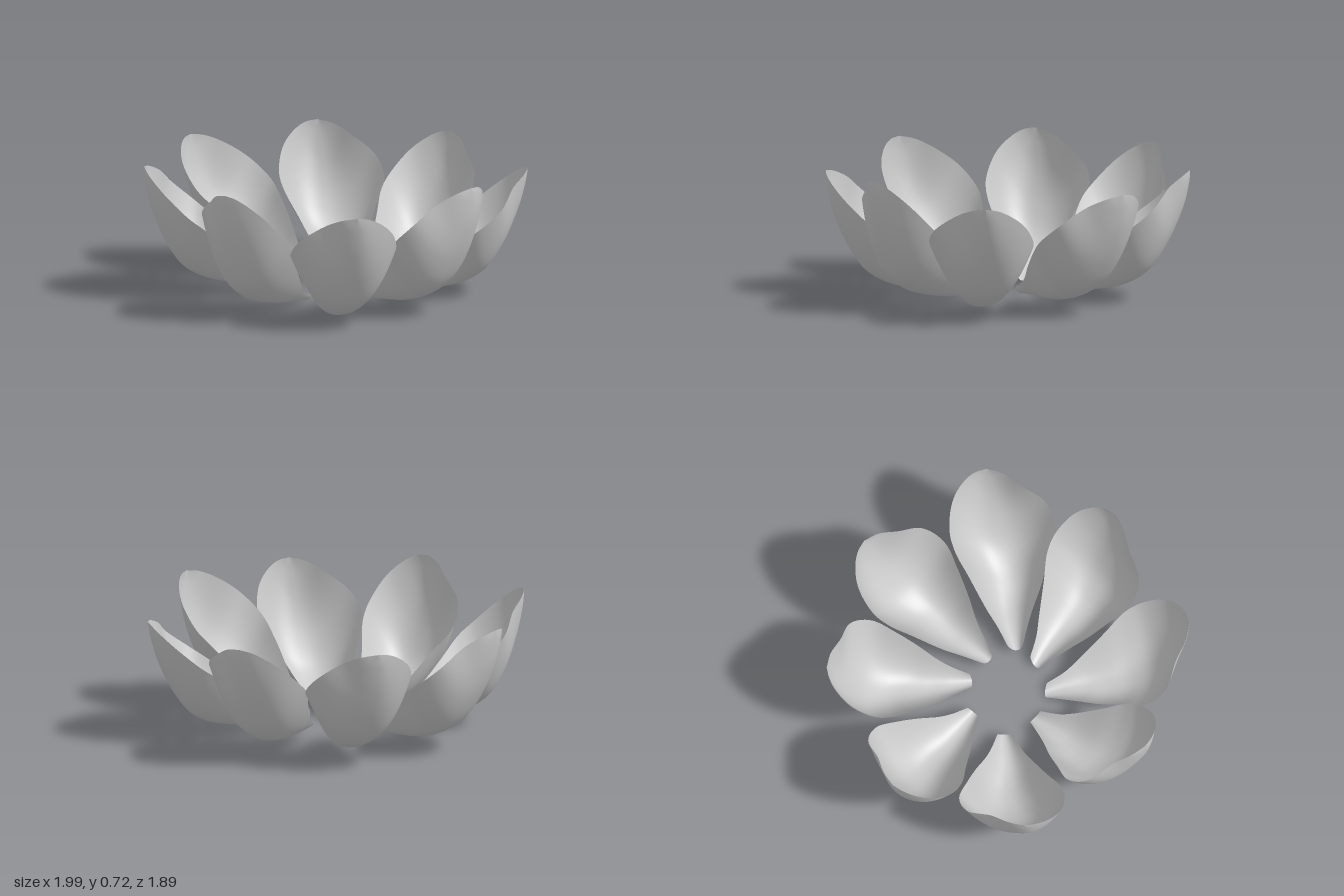
import * as THREE from 'three';

const curve = (pts) => new THREE.CatmullRomCurve3(pts.map(([x, y, d]) => new THREE.Vector3(x, y, -d)));

// Petal guide lines, base to tip: [across, height, distance outward]
const leftRim = curve([[0.01, 0.04, 0.2], [-0.03, 0.07, 0.3], [-0.075, 0.12, 0.38], [-0.15, 0.25, 0.52],
  [-0.21, 0.36, 0.63], [-0.225, 0.43, 0.72], [-0.19, 0.54, 0.84], [-0.12, 0.61, 0.91], [-0.06, 0.64, 0.937], [0, 0.648, 0.945]]);
const rightRim = curve([[0.09, 0.04, 0.195], [0.125, 0.075, 0.28], [0.16, 0.12, 0.35], [0.215, 0.2, 0.44],
  [0.27, 0.3, 0.55], [0.32, 0.39, 0.67], [0.285, 0.49, 0.785], [0.165, 0.585, 0.855], [0.08, 0.63, 0.915], [0, 0.648, 0.945]]);
const keel = curve([[0.055, 0, 0.185], [0.05, 0.01, 0.31], [0.05, 0.015, 0.42], [0.05, 0.03, 0.53],
  [0.045, 0.06, 0.64], [0.04, 0.125, 0.74], [0.03, 0.26, 0.83], [0.02, 0.43, 0.9], [0.005, 0.57, 0.935], [0, 0.648, 0.945]]);

// Cupped surface: each row bows from rim to rim through the keel
function petalGeometry(rows = 63, cols = 28) {
  const pos = [], index = [];
  for (let i = 0; i <= rows; i++) {
    const t = i / rows;
    const l = leftRim.getPoint(t), r = rightRim.getPoint(t);
    const bow = keel.getPoint(t).sub(l.clone().lerp(r, 0.5));
    for (let j = 0; j <= cols; j++) {
      const s = j / cols;
      const depth = 1 - Math.abs(2 * s - 1) ** 2.4;
      pos.push(...l.clone().lerp(r, s).addScaledVector(bow, depth).toArray());
    }
  }
  const w = cols + 1;
  for (let i = 0; i < rows; i++) {
    for (let j = 0; j < cols; j++) {
      const a = i * w + j, b = a + 1, c = a + w, d = c + 1;
      index.push(a, b, c);
      if (i < rows - 1) index.push(b, d, c); // last row meets at the tip
    }
  }
  const geo = new THREE.BufferGeometry();
  geo.setAttribute('position', new THREE.Float32BufferAttribute(pos, 3));
  geo.setIndex(index);
  geo.computeVertexNormals();
  return geo;
}

// Small differences between petals: [x, base height, z, upward pitch, yaw]
const poses = [
  ['backPetal', 0, 0.045, 0, -0.01, 0],
  ['backLeftPetal', -0.01, 0.052, 0.01, -0.03, 0],
  ['leftPetal', 0.02, 0.04, 0.01, -0.05, 0],
  ['frontLeftPetal', 0.025, 0.018, -0.02, 0.07, -0.03],
  ['frontPetal', 0.015, 0.002, -0.002, 0, 0],
  ['frontRightPetal', 0.005, 0.002, 0.02, 0.08, -0.03],
  ['rightPetal', -0.065, 0.035, 0.01, 0.02, -0.06],
  ['backRightPetal', -0.02, 0.045, -0.025, 0, 0],
];

export function createModel() {
  const flower = new THREE.Group();
  flower.name = 'flower';
  const geo = petalGeometry();
  const mat = new THREE.MeshStandardMaterial({ color: 0xcccccc, side: THREE.DoubleSide });
  poses.forEach(([name, x, y, z, pitch, yaw], i) => {
    const petal = new THREE.Mesh(geo, mat);
    petal.name = name;
    petal.rotation.set(pitch, (-i * Math.PI) / 4 + yaw, 0, 'YXZ');
    petal.position.set(x, y - 0.19 * pitch, z);
    flower.add(petal);
  });
  return flower;
}
